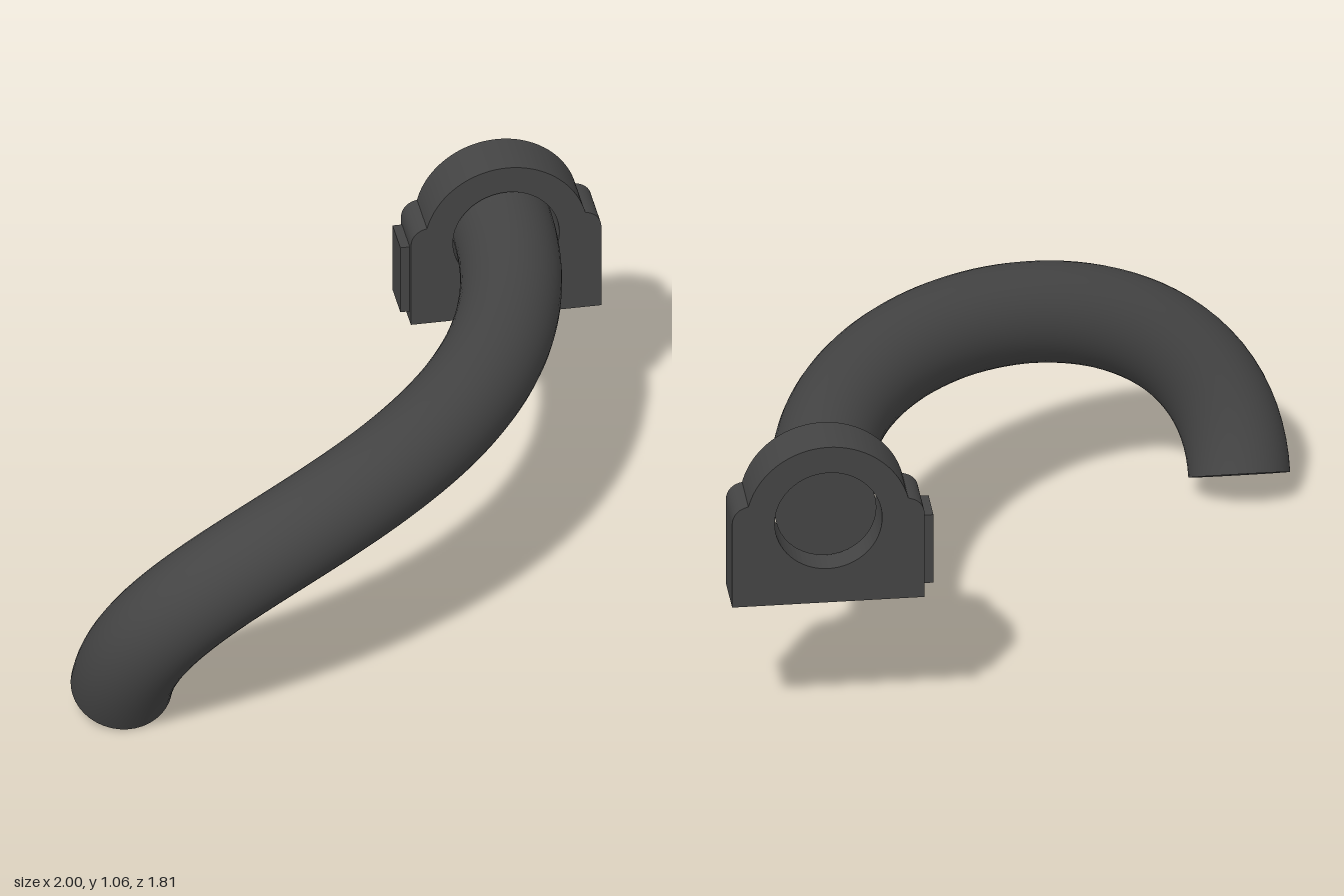
import * as THREE from 'three';

const charcoal = new THREE.MeshStandardMaterial({ color: 0x444444 });
charcoal.name = 'charcoal';

const V = (x, y, z) => new THREE.Vector3(x, y, z);
const CX = 0.685, CY = 0.79, R = 0.166;

function add(group, name, geometry) {
  const mesh = new THREE.Mesh(geometry, charcoal);
  mesh.name = name;
  group.add(mesh);
  return mesh;
}

export function createModel() {
  const model = new THREE.Group();
  model.name = 'bentPipe';

  // Pipe: one sweeping bend with a flat cap at each end
  const end = V(-0.835, 0.08, 0.575);
  const endDir = V(0, -0.87, -0.48).normalize();
  const path = new THREE.CubicBezierCurve3(
    V(CX, CY, -0.83),
    V(CX, CY, 0.63),
    end.clone().addScaledVector(endDir, -0.86),
    end
  );
  add(model, 'pipe', new THREE.TubeGeometry(path, 64, R, 40, false));
  for (const [name, t, sign] of [['inletCap', 0, -1], ['outletCap', 1, 1]]) {
    const cap = add(model, name, new THREE.CircleGeometry(R, 40));
    cap.position.copy(path.getPoint(t));
    cap.quaternion.setFromUnitVectors(V(0, 0, 1), path.getTangent(t).multiplyScalar(sign));
  }

  // Flange: arched plate with a shoulder on each side and a round bore
  const w = 0.315, base = -0.3, arch = 0.27, a = 0.25;
  const ax = arch * Math.cos(a), ay = arch * Math.sin(a);
  const outline = new THREE.Shape();
  outline.moveTo(-w, base);
  outline.lineTo(w, base);
  outline.lineTo(w, 0);
  outline.quadraticCurveTo(w, 0.055, ax, ay);
  outline.absarc(0, 0, arch, a, Math.PI - a, false);
  outline.quadraticCurveTo(-w, 0.055, -w, 0);
  outline.closePath();
  const bore = new THREE.Path();
  bore.absarc(0, 0, 0.176, 0, Math.PI * 2, true);
  outline.holes.push(bore);
  const flange = add(model, 'flange', new THREE.ExtrudeGeometry(outline, {
    depth: 0.175, bevelEnabled: false, curveSegments: 32,
  }));
  flange.position.set(CX, CY, -0.905);

  // Raised pad on the side of the flange
  const pad = add(model, 'sidePad', new THREE.BoxGeometry(0.035, 0.25, 0.135));
  pad.position.set(0.3565, 0.655, -0.8175);

  return model;
}
